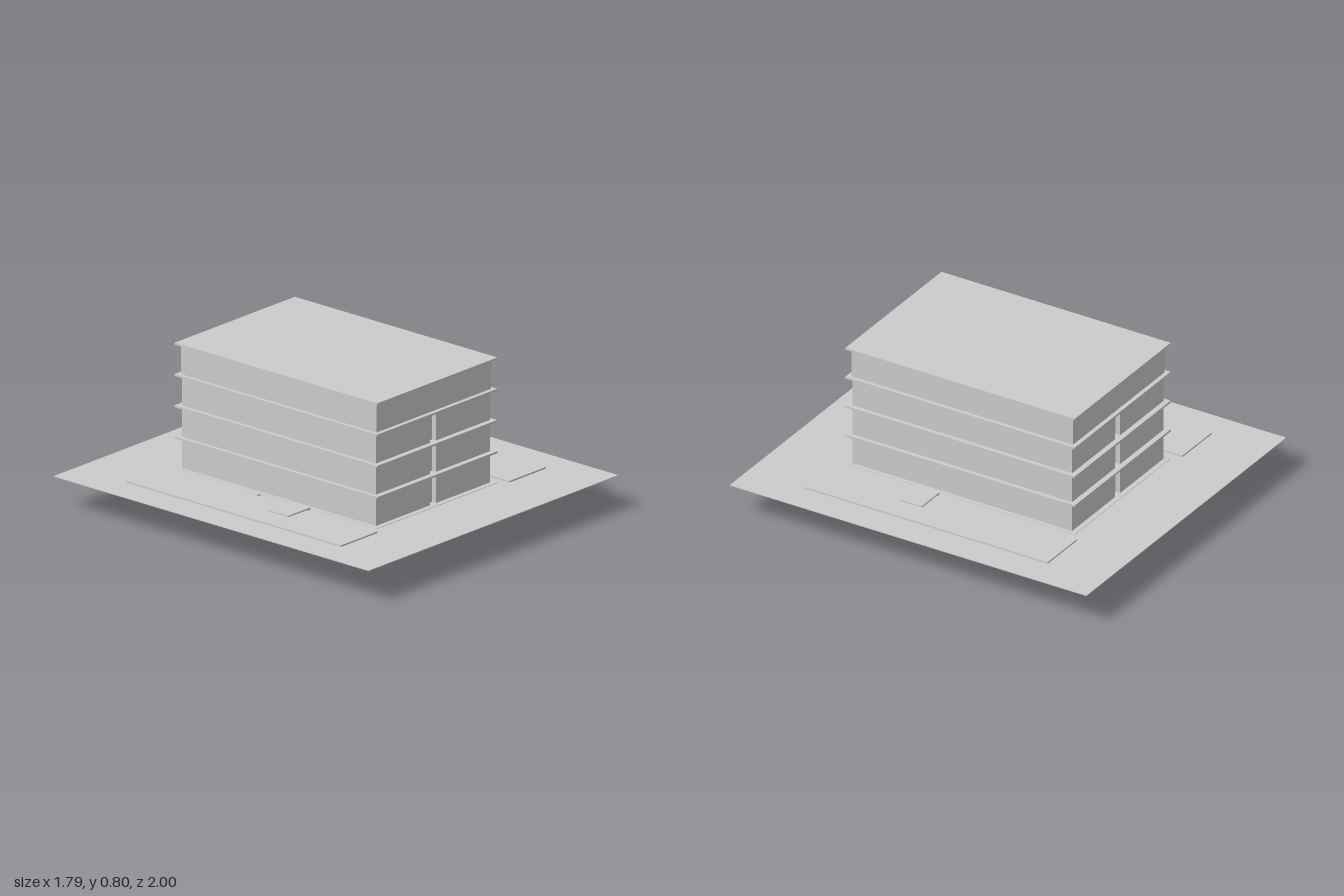
import * as THREE from 'three';

const material = new THREE.MeshStandardMaterial({ color: 0xcccccc, flatShading: true });

export function createModel() {
  const model = new THREE.Group();
  model.name = 'building';

  const add = (name, geometry) => {
    const mesh = new THREE.Mesh(geometry, material);
    mesh.name = name;
    model.add(mesh);
  };
  const box = (name, x0, x1, y0, y1, z0, z1) => add(name,
    new THREE.BoxGeometry(x1 - x0, y1 - y0, z1 - z0)
      .translate((x0 + x1) / 2, (y0 + y1) / 2, (z0 + z1) / 2));
  // Raises a plan outline given as [x, z] points from y0 to y1
  const plan = (name, points, y0, y1) => {
    const shape = new THREE.Shape(points.map(([x, z]) => new THREE.Vector2(x, -z)));
    const geometry = new THREE.ExtrudeGeometry(shape, { depth: y1 - y0, bevelEnabled: false });
    add(name, geometry.rotateX(-Math.PI / 2).translate(0, y0, 0));
  };

  // Ground sheet
  box('ground', -0.894, 0.894, 0.162, 0.166, -1, 1);

  // Floor slabs and roof
  const storey = 0.158, thick = 0.01;
  for (let i = 0; i < 6; i++) {
    const y = i * storey;
    box(i === 5 ? 'roofSlab' : 'floorSlab', -0.431, 0.431, y, y + thick, -0.643, 0.643);
  }

  // Basement and top storey are plain blocks
  box('basementWalls', -0.398, 0.398, thick, storey, -0.605, 0.605);
  box('topStoreyWalls', -0.411, 0.411, 4 * storey + thick, 5 * storey, -0.621, 0.621);

  // Middle storeys have a vertical recess in the front and back walls
  const w = 0.409, d = 0.615, s = 0.022, r = 0.59;
  const walls = [
    [-w, d], [-s, d], [-s, r], [s, r], [s, d], [w, d],
    [w, -d], [s, -d], [s, -r], [-s, -r], [-s, -d], [-w, -d],
  ];
  for (let i = 1; i < 4; i++) plan('storeyWalls', walls, i * storey + thick, (i + 1) * storey);

  // Raised beds on both sides; the right one has an extra tab towards the building
  const bedTop = 0.174;
  box('leftBed', 0.473, 0.734, 0.164, bedTop, -0.682, 0.682);
  plan('rightBed', [
    [-0.734, 0.682], [-0.473, 0.682], [-0.473, -0.085], [-0.447, -0.085],
    [-0.447, -0.265], [-0.473, -0.265], [-0.473, -0.682], [-0.734, -0.682],
  ], 0.164, bedTop);

  // Entrance pads on the beds
  for (const side of [-1, 1]) {
    const xs = [side * 0.447, side * 0.605].sort((a, b) => a - b);
    box('entrancePad', xs[0], xs[1], 0.17, 0.181, 0.104, 0.233);
  }
  return model;
}
